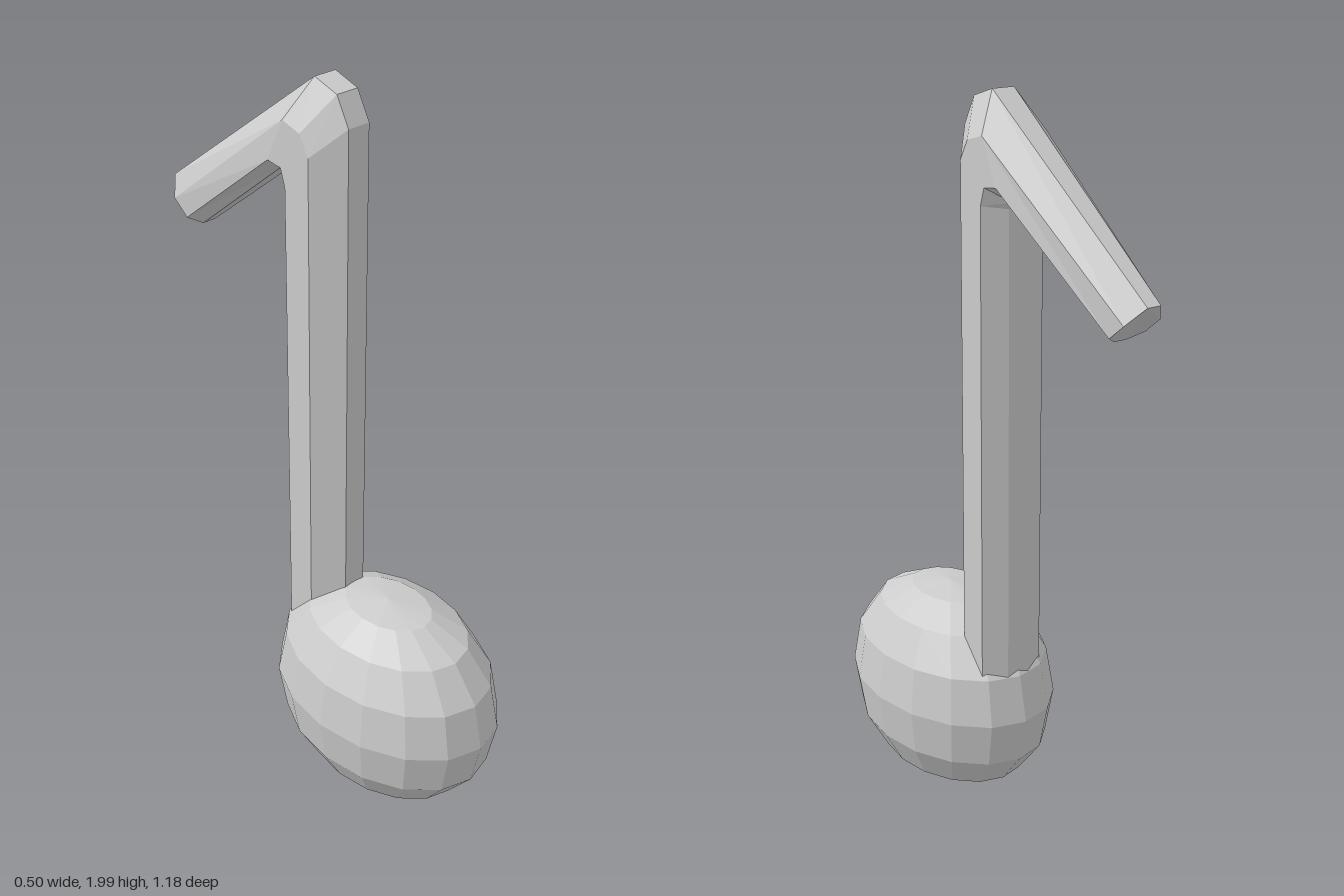
import * as THREE from 'three';

const material = new THREE.MeshStandardMaterial({ color: 0xcccccc, flatShading: true });

// Faceted egg-shaped note head
function createHead() {
  const half = [[1, 0], [0.924, 0.129], [0.707, 0.227], [0.383, 0.281], [0, 0.296]];
  const profile = [
    ...half.slice(1).reverse().map(([r, y]) => new THREE.Vector2(r, -y)),
    ...half.map(([r, y]) => new THREE.Vector2(r, y)),
  ];
  const head = new THREE.Mesh(new THREE.LatheGeometry(profile, 16), material);
  head.scale.set(0.25, 1, 0.357);
  head.position.set(0, 0.302, 0.233);
  head.name = 'noteHead';
  return head;
}

// Each section is a mirrored octagon: four [z, y] pairs from the outer to the
// inner side of the bend, with a narrow and a wide half width.
function createStem() {
  const sections = [
    { n: 0.033, w: 0.0965, p: [[0.1, 0.3], [0.03, 0.3], [-0.054, 0.3], [-0.086, 0.3]] },
    { n: 0.033, w: 0.0965, p: [[0.1, 1.9], [0.03, 1.825], [-0.054, 1.725], [-0.086, 1.715]] },
    { n: 0.033, w: 0.0965, p: [[0.06, 1.973], [0, 1.878], [-0.069, 1.772], [-0.1, 1.733]] },
    { n: 0.033, w: 0.0965, p: [[-0.016, 1.997], [-0.06, 1.895], [-0.116, 1.778], [-0.139, 1.735]] },
    { n: 0.02, w: 0.055, p: [[-0.59, 1.573], [-0.55, 1.527], [-0.5, 1.487], [-0.476, 1.468]] },
  ];
  const positions = [];
  for (const { n, w, p } of sections) {
    const widths = [n, w, w, n];
    p.forEach(([z, y], k) => positions.push(widths[k], y, z));
    for (let k = 3; k >= 0; k--) positions.push(-widths[k], p[k][1], p[k][0]);
  }

  const index = [];
  const last = (sections.length - 1) * 8;
  for (let i = 0; i < last; i += 8) {
    for (let j = 0; j < 8; j++) {
      const a = i + j, b = i + (j + 1) % 8;
      index.push(a, b, b + 8, a, b + 8, a + 8);
    }
  }
  // End caps
  for (let j = 1; j < 7; j++) {
    index.push(0, j + 1, j);
    index.push(last, last + j, last + j + 1);
  }

  const geometry = new THREE.BufferGeometry();
  geometry.setAttribute('position', new THREE.Float32BufferAttribute(positions, 3));
  geometry.setIndex(index);
  geometry.computeVertexNormals();
  const stem = new THREE.Mesh(geometry, material);
  stem.name = 'stemAndFlag';
  return stem;
}

export function createModel() {
  const model = new THREE.Group();
  model.name = 'musicNote';
  model.add(createHead(), createStem());
  return model;
}
